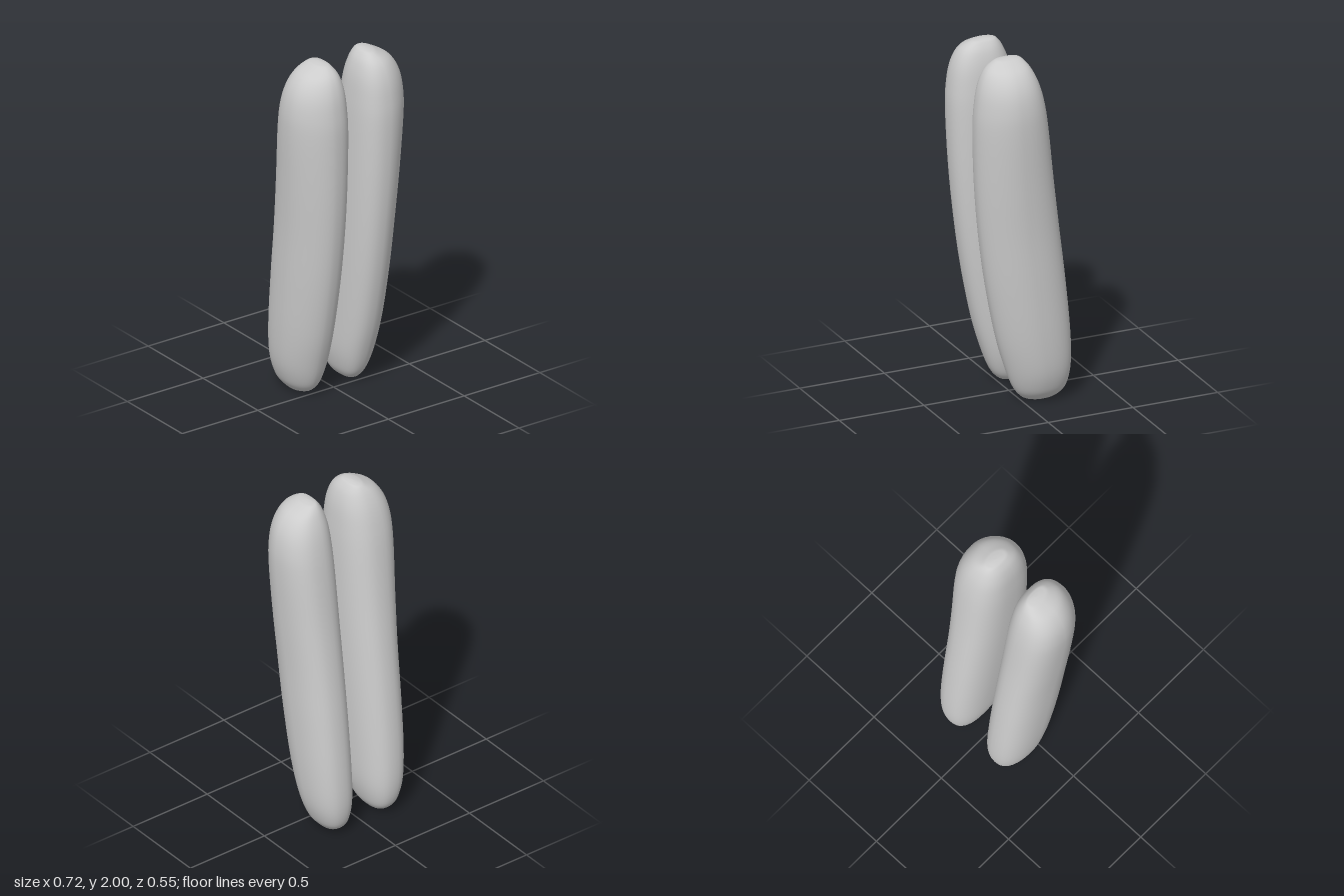
import * as THREE from 'three';
import { mergeVertices } from 'three/addons/utils/BufferGeometryUtils.js';

// Cross-sections from the foot end up: [y, inner x, outer x, back z, front z]
const SECTIONS = [
  [0, 0.16, 0.16, -0.1, -0.1],
  [0.006, 0.125, 0.195, -0.165, -0.04],
  [0.025, 0.1, 0.22, -0.215, 0.0],
  [0.08, 0.073, 0.257, -0.255, 0.043],
  [0.2, 0.05, 0.292, -0.274, 0.09],
  [0.4, 0.042, 0.311, -0.266, 0.147],
  [0.7, 0.037, 0.322, -0.235, 0.205],
  [1.0, 0.035, 0.33, -0.197, 0.245],
  [1.3, 0.035, 0.345, -0.158, 0.27],
  [1.6, 0.038, 0.36, -0.122, 0.28],
  [1.75, 0.045, 0.357, -0.098, 0.272],
  [1.86, 0.057, 0.333, -0.07, 0.252],
  [1.94, 0.08, 0.283, -0.035, 0.215],
  [1.985, 0.11, 0.21, 0.0, 0.16],
  [1.996, 0.13, 0.18, 0.03, 0.12],
  [2.0, 0.152, 0.152, 0.07, 0.07],
];
const ROWS = 75, SIDES = 40;

// Loft of rounded ovals; side is +1 for the left leg and -1 for the right
function legGeometry(side) {
  const curve = (a, b) => new THREE.CatmullRomCurve3(
    SECTIONS.map((s) => new THREE.Vector3(s[a], s[0], s[b])), false, 'catmullrom', 0.5);
  const xs = curve(1, 2), zs = curve(3, 4);
  const positions = [], index = [];
  for (let i = 0; i <= ROWS; i++) {
    const p = xs.getPoint(i / ROWS), q = zs.getPoint(i / ROWS);
    const cx = (p.x + p.z) / 2, rx = (p.z - p.x) / 2;
    const cz = (q.x + q.z) / 2, rz = (q.z - q.x) / 2;
    for (let j = 0; j < SIDES; j++) {
      const a = (j / SIDES) * Math.PI * 2, c = Math.cos(a), s = Math.sin(a);
      // the outer front corner is softer than the other three
      const e = c > 0 && s > 0 ? 2 / 1.9 : 2 / 2.35;
      const u = Math.sign(c) * Math.abs(c) ** e, v = Math.sign(s) * Math.abs(s) ** e;
      positions.push(side * (cx + rx * (u - 0.12 * Math.max(v, 0) ** 2)), p.y, cz + rz * v);
      if (i < ROWS) {
        const k = (j + 1) % SIDES;
        const A = i * SIDES + j, B = A + SIDES, C = i * SIDES + k, D = C + SIDES;
        if (side > 0) index.push(A, B, C, C, B, D);
        else index.push(A, C, B, C, D, B);
      }
    }
  }
  let geometry = new THREE.BufferGeometry();
  geometry.setAttribute('position', new THREE.Float32BufferAttribute(positions, 3));
  geometry.setIndex(index);
  geometry = mergeVertices(geometry, 1e-5); // joins the poles
  geometry.computeVertexNormals();
  return geometry;
}

export function createModel() {
  const model = new THREE.Group();
  model.name = 'legs';
  const grey = new THREE.MeshStandardMaterial({ color: 0xcccccc });
  grey.name = 'light grey';
  for (const [name, side] of [['leftLeg', 1], ['rightLeg', -1]]) {
    const leg = new THREE.Mesh(legGeometry(side), grey);
    leg.name = name;
    model.add(leg);
  }
  return model;
}
